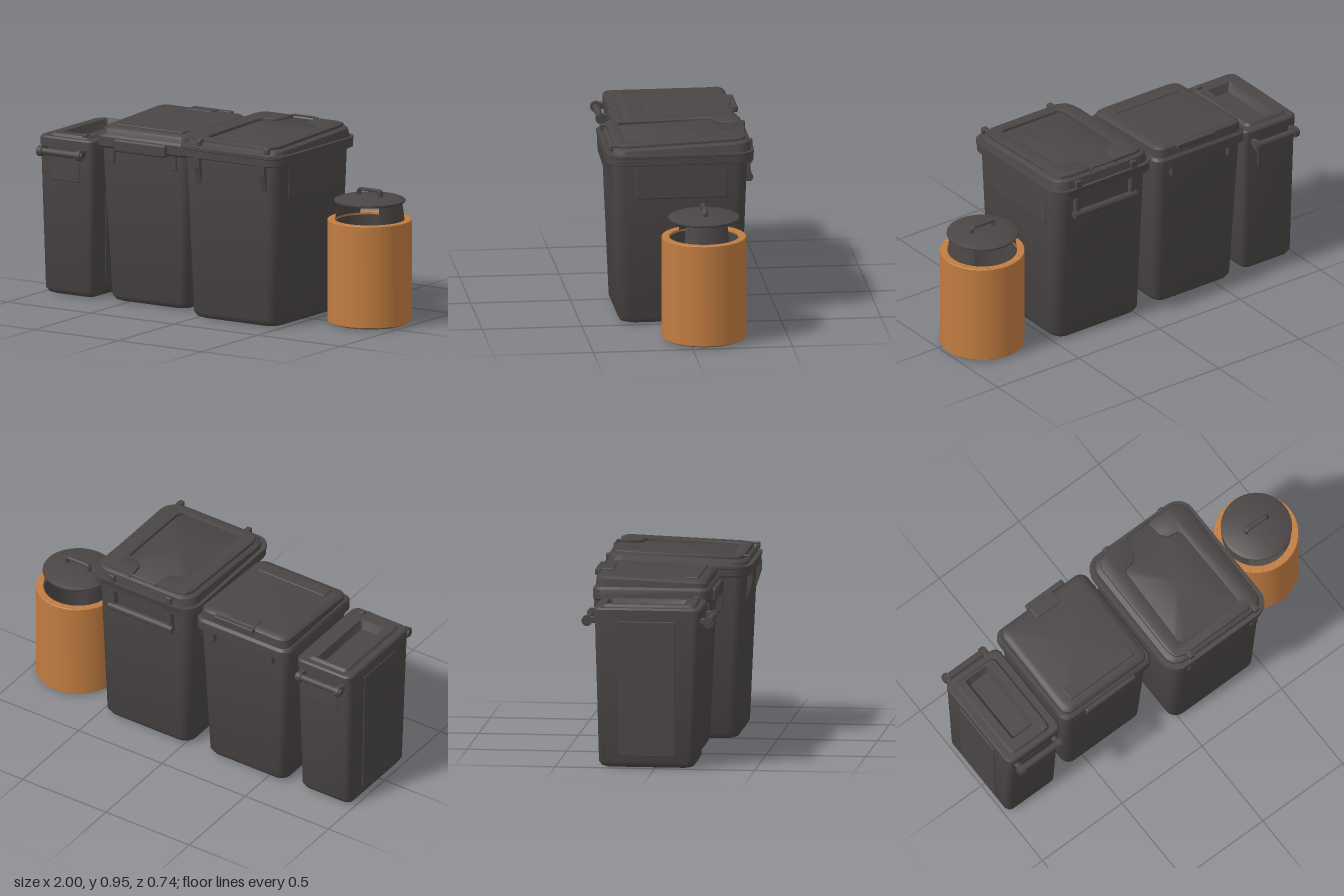
import * as THREE from 'three';
import { toCreasedNormals } from 'three/addons/utils/BufferGeometryUtils.js';
import { RoundedBoxGeometry } from 'three/addons/geometries/RoundedBoxGeometry.js';

const plastic = new THREE.MeshStandardMaterial({ color: 0x4a4645, side: THREE.DoubleSide });
plastic.name = 'dark grey plastic';
const wood = new THREE.MeshStandardMaterial({ color: 0xc07c40 });
wood.name = 'orange wood';

function add(parent, name, geometry, x = 0, y = 0, z = 0, material = plastic) {
  const mesh = new THREE.Mesh(geometry, material);
  mesh.name = name;
  mesh.position.set(x, y, z);
  parent.add(mesh);
  return mesh;
}

// Skin through rounded rectangles [y, x0, x1, z0, z1, radius]; lift(z) bends the heights
function loft(sections, lift = () => 0) {
  const pos = [], index = [], seg = 6, n = 4 * (seg + 1);
  for (const [y, x0, x1, z0, z1, r] of sections) {
    for (let c = 0; c < 4; c++) {
      const cx = c === 0 || c === 3 ? x1 - r : x0 + r;
      const cz = c < 2 ? z1 - r : z0 + r;
      for (let s = 0; s <= seg; s++) {
        const a = (c + s / seg) * Math.PI / 2;
        const z = cz + r * Math.sin(a);
        pos.push(cx + r * Math.cos(a), y + lift(z), z);
      }
    }
  }
  for (let i = 0; i < sections.length - 1; i++) {
    for (let j = 0; j < n; j++) {
      const k = (j + 1) % n, a = i * n + j, b = i * n + k;
      index.push(a, a + n, b, b, a + n, b + n);
    }
  }
  const cap = (row, up) => {
    const [y, x0, x1, z0, z1] = sections[row], mid = pos.length / 3, z = (z0 + z1) / 2;
    pos.push((x0 + x1) / 2, y + lift(z), z);
    for (let j = 0; j < n; j++) {
      const a = row * n + j, b = row * n + (j + 1) % n;
      index.push(mid, up ? b : a, up ? a : b);
    }
  };
  cap(0, false);
  cap(sections.length - 1, true);
  const g = new THREE.BufferGeometry();
  g.setAttribute('position', new THREE.Float32BufferAttribute(pos, 3));
  g.setIndex(index);
  return toCreasedNormals(g, 0.7);
}

// Tapered tub with a softened foot; bottom and top are [x0, x1, z0, z1]
function tub(bottom, top, height, r) {
  const ring = (y, inset) => {
    const s = bottom.map((v, i) => v + (top[i] - v) * y / height);
    return [y, s[0] + inset, s[1] - inset, s[2] + inset, s[3] - inset, r];
  };
  return loft([ring(0, 0.03), ring(0.008, 0.012), ring(0.03, 0), ring(height, 0)]);
}

function barX(parent, name, length, radius, x, y, z) {
  add(parent, name, new THREE.CylinderGeometry(radius, radius, length, 16), x, y, z).rotation.z = Math.PI / 2;
}

const box = (w, h, d, r = 0.006) => new RoundedBoxGeometry(w, h, d, 2, r);

// Square-cornered carrying loop standing on y = 0
function loop(w, h, r) {
  const p = [[-w, 0], [-w, h * 0.7], [-w * 0.85, h], [w * 0.85, h], [w, h * 0.7], [w, 0]];
  const path = new THREE.CatmullRomCurve3(p.map(([x, y]) => new THREE.Vector3(x, y, 0)), false, 'catmullrom', 0.2);
  return new THREE.TubeGeometry(path, 32, r, 8);
}

function slimBin() {
  const g = new THREE.Group();
  g.name = 'slimBin';
  add(g, 'slimBody', tub([-0.985, -0.685, -0.285, 0.2], [-0.998, -0.675, -0.305, 0.225], 0.76, 0.035));
  // Rim, raised frame and sunken slot in one skin
  add(g, 'slotLid', loft([
    [0.755, -1, -0.67, -0.31, 0.23, 0.04], [0.797, -1, -0.67, -0.31, 0.23, 0.04],
    [0.806, -0.992, -0.678, -0.302, 0.222, 0.035], [0.806, -0.96, -0.715, -0.275, 0.2, 0.03],
    [0.818, -0.95, -0.725, -0.265, 0.19, 0.025], [0.818, -0.91, -0.77, -0.255, 0.135, 0.012],
    [0.775, -0.89, -0.785, -0.235, 0.115, 0.01]]));
  add(g, 'lidCatch', box(0.03, 0.02, 0.03), -0.745, 0.82, 0.18);
  for (const s of [1, -1]) {
    const z = s > 0 ? 0.265 : -0.345;
    barX(g, 'gripBar', 0.27, 0.018, -0.84, 0.735, z);
    for (const x of [-0.955, -0.725]) {
      barX(g, 'gripKnob', 0.025, 0.027, x, 0.735, z);
      add(g, 'gripBracket', box(0.025, 0.035, 0.06), x, 0.74, z - s * 0.025);
    }
    add(g, 'gripPocket', box(0.17, 0.13, 0.012), -0.84, 0.65, s > 0 ? 0.22 : -0.302);
    const panel = add(g, 'sidePanel', box(0.008, 0.68, 0.28, 0.003), -0.836 + s * 0.157, 0.4, -0.04);
    panel.rotation.z = -s * 0.016;
  }
  return g;
}

function middleBin() {
  const g = new THREE.Group();
  g.name = 'middleBin';
  add(g, 'middleBody', tub([-0.605, -0.135, -0.3, 0.18], [-0.64, -0.11, -0.335, 0.215], 0.8, 0.05));
  add(g, 'middleRim', loft([
    [0.785, -0.645, -0.105, -0.345, 0.225, 0.05], [0.795, -0.655, -0.095, -0.357, 0.236, 0.05],
    [0.842, -0.655, -0.095, -0.357, 0.236, 0.05], [0.855, -0.645, -0.105, -0.345, 0.225, 0.05]]));
  // Lid slopes gently down towards the front
  const lift = z => -0.025 * (z + 0.34) / 0.56;
  add(g, 'middleLid', loft([
    [0.85, -0.64, -0.11, -0.345, 0.225, 0.05], [0.9, -0.635, -0.115, -0.34, 0.215, 0.05],
    [0.912, -0.622, -0.128, -0.328, 0.2, 0.045], [0.915, -0.6, -0.15, -0.305, 0.17, 0.04]], lift));
  add(g, 'lidStep', box(0.4, 0.014, 0.07), -0.37, 0.894, 0.135);
  add(g, 'frontGrip', box(0.31, 0.065, 0.05, 0.012), -0.375, 0.808, 0.23);
  add(g, 'rearGrip', box(0.23, 0.03, 0.03), -0.335, 0.9, -0.35);
  add(g, 'rearGripPlate', box(0.15, 0.012, 0.07), -0.37, 0.913, -0.305);
  for (const x of [-0.55, -0.2]) add(g, 'rearHinge', box(0.03, 0.1, 0.035), x, 0.79, -0.34);
  for (const x of [-0.56, -0.19]) add(g, 'frontRib', box(0.03, 0.08, 0.03), x, 0.75, 0.21);
  return g;
}

function largeBin() {
  const g = new THREE.Group(), cx = 0.225;
  g.name = 'largeBin';
  add(g, 'largeBody', tub([-0.035, 0.485, -0.305, 0.31], [-0.055, 0.505, -0.335, 0.345], 0.83, 0.06));
  add(g, 'largeRim', loft([
    [0.822, -0.07, 0.52, -0.355, 0.355, 0.08], [0.828, -0.083, 0.533, -0.368, 0.368, 0.09],
    [0.862, -0.083, 0.533, -0.368, 0.368, 0.09], [0.865, -0.086, 0.536, -0.37, 0.372, 0.09],
    [0.878, -0.086, 0.536, -0.37, 0.372, 0.09]]));
  const lift = z => -0.026 * (z + 0.34) / 0.68;
  add(g, 'largeLid', loft([
    [0.878, -0.07, 0.52, -0.355, 0.355, 0.08], [0.92, -0.06, 0.51, -0.348, 0.345, 0.08],
    [0.93, -0.045, 0.495, -0.335, 0.33, 0.07]], lift));
  // Raised border around the lid panel, open at the back for the handle
  const half = [[0.075, 0.325], [0.2, 0.325], [0.24, 0.31], [0.255, 0.27], [0.255, -0.26],
    [0.24, -0.305], [0.2, -0.322], [0, -0.322]];
  const inner = [[0, -0.275], [0.17, -0.275], [0.19, -0.25], [0.18, 0.19], [0.165, 0.21], [0.11, 0.22], [0.085, 0.25]];
  const flip = list => list.map(([x, y]) => [-x, y]).reverse();
  const outline = [...half, ...flip(half).slice(1), ...flip(inner), ...inner.slice(1)];
  const border = new THREE.ExtrudeGeometry(new THREE.Shape(outline.map(([x, y]) => new THREE.Vector2(x, y))),
    { depth: 0.018, bevelThickness: 0.006, bevelSize: 0.006, bevelSegments: 2 });
  border.rotateX(-Math.PI / 2 + 0.038);
  add(g, 'lidBorder', toCreasedNormals(border, 0.7), cx, 0.908, 0);
  add(g, 'lidHandle', loop(0.078, 0.028, 0.006), cx, 0.915, -0.335);
  for (const x of [0.05, 0.455]) {
    add(g, 'frontHook', box(0.03, 0.012, 0.06), x, 0.914, 0.33);
    add(g, 'frontHookTip', box(0.03, 0.025, 0.02), x, 0.9, 0.35);
  }
  // Tapered gussets under the rim
  const wedge = new THREE.Shape([[0, 0.83], [0.37, 0.83], [0.368, 0.78], [0.335, 0.68], [0, 0.68]]
    .map(([x, y]) => new THREE.Vector2(x, y)));
  for (const x of [0.03, 0.42]) {
    const gusset = new THREE.ExtrudeGeometry(wedge, { depth: 0.03, bevelEnabled: false });
    gusset.rotateY(-Math.PI / 2);
    add(g, 'frontGusset', gusset, x + 0.03, 0, 0);
  }
  // Side shoulders, rear hinge and rear bar
  for (const s of [1, -1]) {
    add(g, 'sideShoulder', box(0.02, 0.19, 0.46, 0.008), cx + s * 0.272, 0.74, 0);
    add(g, 'rearHinge', box(0.035, 0.12, 0.025), cx + s * 0.17, 0.855, -0.355);
    add(g, 'rearBracket', box(0.03, 0.1, 0.035), cx + s * 0.17, 0.75, -0.34);
  }
  barX(g, 'rearBar', 0.38, 0.02, cx, 0.72, -0.35);
  return g;
}

function woodenBin() {
  const g = new THREE.Group();
  g.name = 'woodenBin';
  g.position.set(0.785, 0, -0.08);
  const lathe = pts => toCreasedNormals(new THREE.LatheGeometry(pts.map(p => new THREE.Vector2(...p)), 40), 0.6);
  add(g, 'liner', lathe([[0, 0.002], [0.188, 0.002], [0.188, 0.515], [0.17, 0.515], [0.16, 0.05], [0, 0.05]]));
  // Curved planks with narrow gaps
  const count = 20, step = Math.PI * 2 / count;
  for (let i = 0; i < count; i++) {
    const a = step * 0.475;
    const shape = new THREE.Shape();
    shape.absarc(0, 0, 0.208, -a, a, false);
    shape.absarc(0, 0, 0.176, a, -a, true);
    const plank = new THREE.ExtrudeGeometry(shape,
      { depth: 0.512, bevelThickness: 0.003, bevelSize: 0.003, bevelSegments: 1, curveSegments: 4 });
    plank.rotateX(-Math.PI / 2);
    add(g, 'plank', toCreasedNormals(plank, 0.5), 0, 0.013, 0, wood).rotation.y = i * step;
  }
  // Two curved walls carry the cover
  for (const start of [Math.PI / 2, -Math.PI / 2]) {
    add(g, 'coverSupport', new THREE.CylinderGeometry(0.16, 0.175, 0.115, 16, 1, true, start - 0.7, 1.4), 0, 0.567, 0);
  }
  add(g, 'cover', lathe([[0, 0.613], [0.172, 0.613], [0.178, 0.618], [0.178, 0.626], [0.16, 0.634], [0.06, 0.645], [0, 0.646]]));
  add(g, 'coverHandle', loop(0.066, 0.034, 0.009), 0, 0.64, 0).scale.z = 1.5;
  return g;
}

export function createModel() {
  const model = new THREE.Group();
  model.name = 'wasteBins';
  model.add(slimBin(), middleBin(), largeBin(), woodenBin());
  return model;
}
